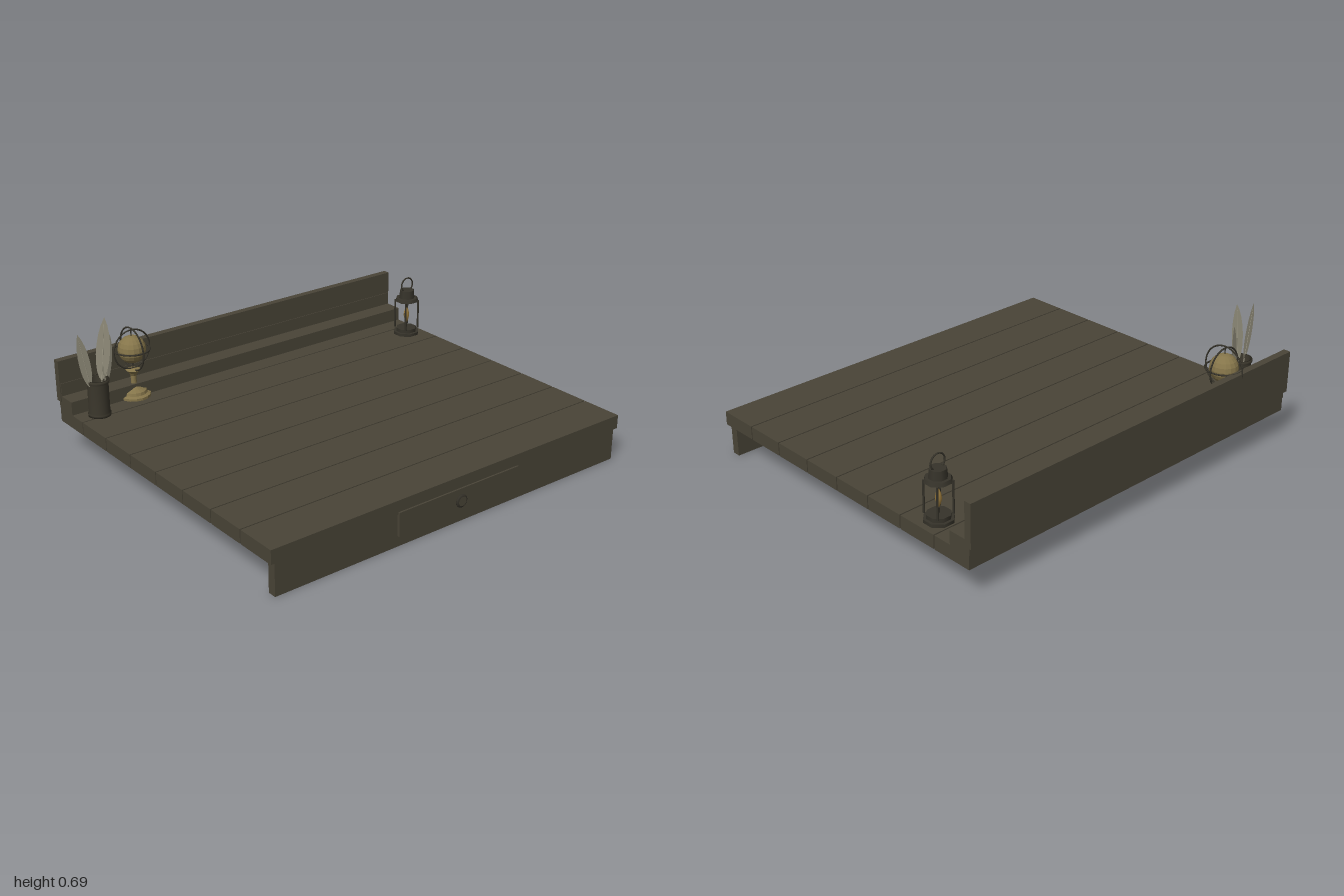
import * as THREE from 'three';

const mat = (name, color, extra = {}) => {
  const m = new THREE.MeshStandardMaterial({ color, ...extra });
  m.name = name;
  return m;
};

export function createModel() {
  const wood = mat('dark wood', 0x494437);
  const iron = mat('dark iron', 0x36332a);
  const brass = mat('aged brass', 0x85754a, { flatShading: true });
  const flameMat = mat('flame amber', 0x9a7a3c);
  const featherMat = mat('pale feather', 0xa39e8a, { side: THREE.DoubleSide });
  const cupMat = mat('cup wood', 0x3b372c, { side: THREE.DoubleSide });

  const root = new THREE.Group();
  root.name = 'deskTop';

  const add = (parent, name, geo, material, x = 0, y = 0, z = 0) => {
    const m = new THREE.Mesh(geo, material);
    m.name = name;
    m.position.set(x, y, z);
    parent.add(m);
    return m;
  };
  // Box given by its limits on each axis
  const box = (name, x0, x1, y0, y1, z0, z1, material = wood) =>
    add(root, name, new THREE.BoxGeometry(x1 - x0, y1 - y0, z1 - z0), material,
      (x0 + x1) / 2, (y0 + y1) / 2, (z0 + z1) / 2);
  const group = (name, x, y, z) => {
    const g = new THREE.Group();
    g.name = name;
    g.position.set(x, y, z);
    root.add(g);
    return g;
  };
  const lathe = (pts, n) =>
    new THREE.LatheGeometry(pts.map(([r, y]) => new THREE.Vector2(r, y)), n);

  // Table top of eight planks with narrow gaps
  const pitch = 1.686 / 8;
  for (let i = 0; i < 8; i++) {
    const z0 = -0.843 + i * pitch;
    box('plank' + (i + 1), -0.995, 0.995, 0.155, 0.221, z0 + 0.003, z0 + pitch - 0.003);
  }

  // Rear ledge and back board with a slim lower panel
  box('rearLedge', -0.995, 0.995, 0.221, 0.287, -0.843, -0.728);
  box('backBoard', -1, 1, 0.258, 0.463, -0.857, -0.822);
  box('backBoardPanel', -0.995, 0.995, 0.285, 0.35, -0.824, -0.818);

  // Front apron, drawer and knob
  box('frontApron', -0.975, 0.975, 0, 0.156, 0.793, 0.835);
  box('drawerFront', -0.345, 0.345, 0.052, 0.166, 0.834, 0.848);
  const knob = add(root, 'drawerKnob',
    lathe([[0.024, 0], [0.031, 0.005], [0.031, 0.01], [0.023, 0.013], [0, 0.014]], 16), iron, 0, 0.11, 0.846);
  knob.rotation.x = Math.PI / 2;
  add(root, 'knobFace', new THREE.CircleGeometry(0.022, 16), wood, 0, 0.11, 0.861);

  // Hollow cup with rims
  const cup = group('quillCup', -0.887, 0.221, -0.662);
  add(cup, 'cupBody', lathe([[0, 0], [0.054, 0], [0.054, 0.012], [0.05, 0.018], [0.05, 0.162],
    [0.055, 0.167], [0.055, 0.18], [0.045, 0.18], [0.045, 0.015], [0, 0.015]], 20), cupMat);

  // Feather quills: flat blade on a thin shaft
  const feather = (name, x, z, length, width, lean, twist) => {
    const g = new THREE.Group();
    g.name = name;
    g.position.set(x, 0.03, z);
    g.rotation.set(0, twist, -lean);
    const a = 0.3 * length;
    const s = new THREE.Shape();
    s.moveTo(0, a);
    s.bezierCurveTo(width * 0.7, a + 0.04, width * 0.75, length * 0.8, 0, length);
    s.bezierCurveTo(-width * 0.75, length * 0.8, -width * 0.7, a + 0.04, 0, a);
    add(g, 'featherBlade', new THREE.ShapeGeometry(s, 8), featherMat);
    add(g, 'featherShaft', new THREE.CylinderGeometry(0.0012, 0.003, length * 0.92, 6),
      featherMat, 0, length * 0.46, 0);
    cup.add(g);
  };
  feather('leftFeather', -0.02, 0.008, 0.405, 0.056, -0.19, 0.15);
  feather('middleFeather', 0.01, -0.004, 0.443, 0.064, 0.105, -0.15);
  feather('rightFeather', 0.025, 0.004, 0.35, 0.05, 0.19, 0.3);

  // Armillary globe on a turned stand
  const globe = group('armillaryGlobe', -0.647, 0.221, -0.75);
  add(globe, 'globeStand', lathe([[0, 0], [0.078, 0], [0.078, 0.012], [0.062, 0.018], [0.058, 0.032],
    [0.04, 0.04], [0.024, 0.05], [0.014, 0.065], [0.014, 0.105], [0.022, 0.12],
    [0.036, 0.135], [0.012, 0.142], [0, 0.142]], 16), brass);
  add(globe, 'globeSphere', new THREE.SphereGeometry(0.068, 16, 10), brass, 0, 0.239, 0);
  const ring = (name, r, rx, ry) => {
    const m = add(globe, name, new THREE.TorusGeometry(r, 0.004, 6, 40), iron, 0, 0.239, 0);
    m.rotation.set(rx, ry, 0);
  };
  ring('sideRing', 0.105, 0, Math.PI / 2);
  ring('frontRing', 0.097, 0, 0);
  ring('horizonRing', 0.086, Math.PI / 2, 0);
  add(globe, 'globeAxis', new THREE.CylinderGeometry(0.003, 0.003, 0.21, 6), iron, 0, 0.239, 0);

  // Lantern
  const lantern = group('lantern', 0.903, 0.221, -0.558);
  const oct = (name, rTop, rBottom, y0, y1, material = iron) => {
    const m = add(lantern, name, new THREE.CylinderGeometry(rTop, rBottom, y1 - y0, 8), material, 0, (y0 + y1) / 2, 0);
    m.rotation.y = Math.PI / 8;
  };
  oct('lanternFoot', 0.068, 0.068, 0, 0.015);
  oct('lanternBase', 0.054, 0.054, 0.015, 0.033);
  oct('lanternRoof', 0.056, 0.062, 0.182, 0.199);
  oct('lanternCap', 0.038, 0.042, 0.199, 0.241);
  for (let i = 0; i < 4; i++) {
    const a = Math.PI / 4 + i * Math.PI / 2;
    add(lantern, 'lanternPost' + (i + 1), new THREE.CylinderGeometry(0.005, 0.005, 0.152, 6),
      iron, 0.06 * Math.cos(a), 0.108, 0.06 * Math.sin(a));
  }
  add(lantern, 'lanternHandle', new THREE.TorusGeometry(0.037, 0.004, 6, 28), iron, 0, 0.268, 0);
  add(lantern, 'flame', lathe([[0, 0.055], [0.009, 0.075], [0.015, 0.1], [0.011, 0.125], [0, 0.15]], 8), flameMat);
  add(lantern, 'wick', new THREE.CylinderGeometry(0.004, 0.004, 0.03, 6), iron, 0, 0.046, 0);

  return root;
}
